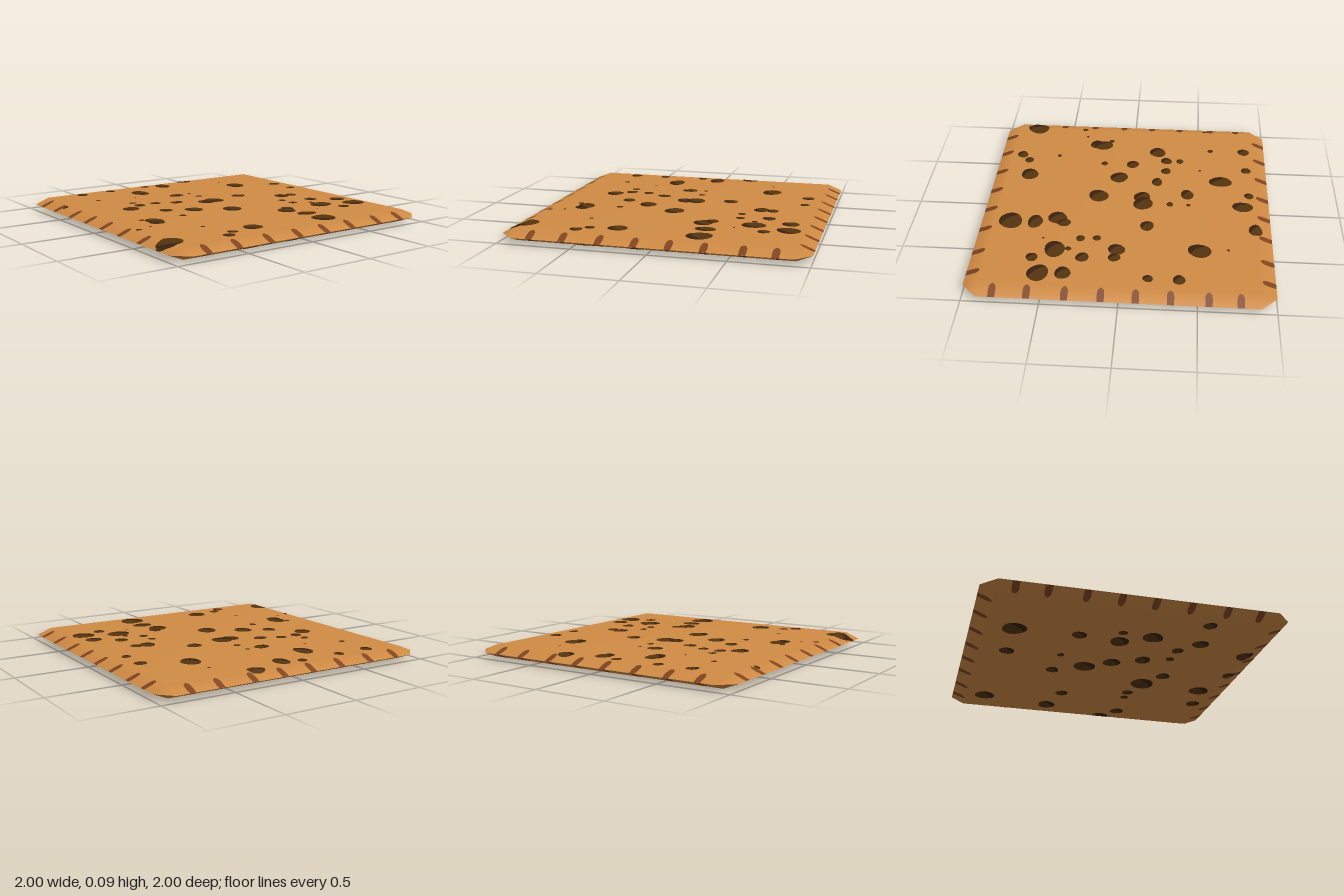
import * as THREE from 'three';
import { mergeGeometries } from 'three/addons/utils/BufferGeometryUtils.js';

const MID = 0.04, INSET = 0.9;

const flat = (name, color) => {
  const m = new THREE.MeshStandardMaterial({ color });
  m.name = name;
  return m;
};

// Distance of the slab surface from its middle plane: flat, then sloping to the rim
const surface = (x, z) =>
  MID - Math.max(0, Math.max(Math.abs(x), Math.abs(z)) - INSET) * 0.4;

// Half of the slab: a square face with a sloping border and cut corners
function halfSlab(side) {
  const pos = [], idx = [];
  for (let k = 0; k < 4; k++) {
    const c = Math.round(Math.cos(k * Math.PI / 2)), s = Math.round(Math.sin(k * Math.PI / 2));
    for (const [x, z, h] of [[INSET, INSET, MID], [1, INSET, 0], [INSET, 1, 0]]) {
      pos.push(c * x - s * z, MID + side * h, s * x + c * z);
    }
    const a = k * 3, n = ((k + 1) % 4) * 3;
    idx.push(a, a + 1, a + 2, a, a + 2, n + 1, a, n + 1, n);
  }
  idx.push(0, 3, 6, 0, 6, 9);
  return finish(pos, idx, side);
}

function finish(pos, idx, side) {
  if (side > 0) idx.reverse();
  const g = new THREE.BufferGeometry();
  g.setAttribute('position', new THREE.Float32BufferAttribute(pos, 3));
  g.setIndex(idx);
  g.computeVertexNormals();
  return g;
}

// Thin painted patch draped on the slab; f(u, v) gives [x, z]
function patch(cols, rows, side, lift, f) {
  const pos = [], idx = [];
  for (let j = 0; j <= rows; j++) {
    for (let i = 0; i <= cols; i++) {
      const [x, z] = f(i / cols, j / rows).map(t => THREE.MathUtils.clamp(t, -1, 1));
      pos.push(x, MID + side * (surface(x, z) + lift), z);
      if (i < cols && j < rows) {
        const a = j * (cols + 1) + i, b = a + cols + 1;
        idx.push(a, b, b + 1, a, b + 1, a + 1);
      }
    }
  }
  return finish(pos, idx, side);
}

// Larger chips on the upper face: x, z, half width, half depth
const TOP_LARGE = [
  [-0.51, -0.52, 0.078, 0.066], [0.37, -0.79, 0.05, 0.06], [0.53, -0.8, 0.07, 0.077],
  [0.45, -0.56, 0.07, 0.078], [0.47, -0.23, 0.065, 0.065], [0.42, -0.28, 0.045, 0.04],
  [0.62, -0.28, 0.052, 0.068], [0.79, -0.28, 0.082, 0.082], [-0.81, -0.03, 0.07, 0.055],
  [-0.11, -0.03, 0.067, 0.072], [-0.1, 0.04, 0.06, 0.06], [0.21, 0.04, 0.07, 0.066],
  [-0.66, 0.26, 0.08, 0.06], [0.08, 0.27, 0.064, 0.06], [0.74, 0.27, 0.063, 0.063],
  [-0.19, 0.61, 0.058, 0.06], [0.23, 0.68, 0.07, 0.06], [0.28, 0.69, 0.05, 0.05],
  [0.76, 0.9, 0.083, 0.083], [0.04, -0.54, 0.055, 0.055], [-0.89, -0.28, 0.046, 0.06],
  [-0.15, -0.28, 0.048, 0.05], [-0.42, 0.09, 0.045, 0.055], [-0.2, 0.23, 0.035, 0.05],
  [-0.01, 0.44, 0.045, 0.045],
];

// Smaller chips on the upper face: x, z, radius
const TOP_SMALL = [
  [-0.38, -0.81, 0.042], [-0.18, -0.81, 0.033], [0.05, -0.62, 0.04], [0.26, -0.63, 0.044],
  [0.59, -0.65, 0.04], [0.36, -0.55, 0.02], [0.18, -0.43, 0.027], [0.29, -0.44, 0.03],
  [-0.7, -0.5, 0.01], [0.54, -0.45, 0.008], [-0.43, -0.03, 0.015], [-0.3, -0.03, 0.024],
  [-0.86, 0.1, 0.033], [-0.85, 0.41, 0.035], [-0.26, 0.37, 0.036], [-0.36, 0.5, 0.027],
  [-0.26, 0.5, 0.04], [0.2, 0.44, 0.024], [0.77, 0.45, 0.033], [0.83, 0.52, 0.04],
  [-0.84, 0.65, 0.042], [-0.59, 0.65, 0.02], [0.17, 0.74, 0.02], [0.39, 0.89, 0.02],
  [-0.55, 0.93, 0.02], [0.55, 0.52, 0.015], [0.36, 0.79, 0.01], [-0.51, 0.39, 0.01],
  [0.78, 0.97, 0.035],
];

// Chips on the underside: x, z, radius
const BOTTOM = [
  [0.82, -0.47, 0.05], [0.78, -0.22, 0.07], [0.9, 0.09, 0.045], [0.89, 0.42, 0.06],
  [0.285, -0.76, 0.05], [0.18, -0.89, 0.06], [0.33, -0.195, 0.085], [0.44, -0.03, 0.05],
  [0.27, -0.38, 0.04], [0.27, -0.475, 0.03], [-0.28, -0.76, 0.065], [-0.21, -0.51, 0.045],
  [-0.77, -0.69, 0.07], [0.4, 0.26, 0.03], [0.22, 0.2, 0.055], [0.02, 0.11, 0.06],
  [-0.15, 0, 0.075], [-0.36, -0.11, 0.045], [0.41, 0.4, 0.04], [0.53, 0.53, 0.055],
  [0.19, 0.55, 0.068], [-0.01, 0.44, 0.065], [0.5, 0.8, 0.045], [-0.02, 0.57, 0.03],
  [-0.29, 0.47, 0.05], [-0.35, 0.145, 0.025], [-0.72, 0.46, 0.08], [-0.72, 0.12, 0.05],
];

// A slightly irregular round chip and the darker crescent along its edge
function addChip([x, z, rx, rz = rx], seed, side, chips, edges) {
  const wobble = a => 1 + 0.04 * Math.sin(2 * a + seed) + 0.03 * Math.sin(3 * a + seed * 2.3);
  chips.push(patch(24, 5, side, 0.0015, (u, v) => {
    const a = u * Math.PI * 2, r = v * wobble(a);
    return [x + rx * r * Math.cos(a), z + rz * r * Math.sin(a)];
  }));
  edges.push(patch(14, 3, side, 0.0025, (u, v) => {
    const b = (u * 2 - 1) * 1.45, w = wobble(b + Math.PI / 4);
    const p = w * Math.cos(b) * (0.4 + 0.6 * v), q = w * Math.sin(b);
    return [x + rx * (p - q) * Math.SQRT1_2, z + rz * (p + q) * Math.SQRT1_2];
  }));
}

export function createModel() {
  const model = new THREE.Group();
  const baked = flat('bakedBrown', 0xd08b44);
  const toasted = flat('toastedBrown', 0x80451f);
  const chocolate = flat('chocolate', 0x55340f);
  const darkChocolate = flat('darkChocolate', 0x3a210e);
  const add = (name, geometry, material) => {
    const mesh = new THREE.Mesh(geometry, material);
    mesh.name = name;
    model.add(mesh);
  };

  for (const side of [1, -1]) {
    const label = side > 0 ? 'upper' : 'lower';
    add(label + 'Slab', halfSlab(side), baked);

    // Toasted marks along the four sloping borders
    const marks = [];
    for (let k = 0; k < 4; k++) {
      const c = Math.cos(k * Math.PI / 2), s = Math.sin(k * Math.PI / 2);
      for (const t of [-0.79, -0.59, -0.35, -0.13, 0.09, 0.32, 0.56, 0.78]) {
        // Marks keep the same positions along x or z on opposite borders
        const centre = (k === 1 || k === 2 ? -t : t) + (k === 3 ? 0.02 : 0);
        marks.push(patch(2, 8, side, 0.0008, (u, v) => {
          const half = 0.027 * Math.sqrt(1 - (1 - v) ** 4) * (1 - 0.2 * v);
          const out = 0.907 + 0.093 * v, along = centre + (u * 2 - 1) * half;
          return [c * out - s * along, s * out + c * along];
        }));
      }
    }
    add(label + 'EdgeMarks', mergeGeometries(marks), toasted);

    // Chocolate chips
    const chips = [], edges = [];
    const list = side > 0 ? [...TOP_LARGE, ...TOP_SMALL] : BOTTOM;
    list.forEach((chip, i) => addChip(chip, i * 1.7, side, chips, edges));
    add(label + 'Chips', mergeGeometries(chips), chocolate);
    add(label + 'ChipEdges', mergeGeometries(edges), darkChocolate);
  }
  return model;
}
